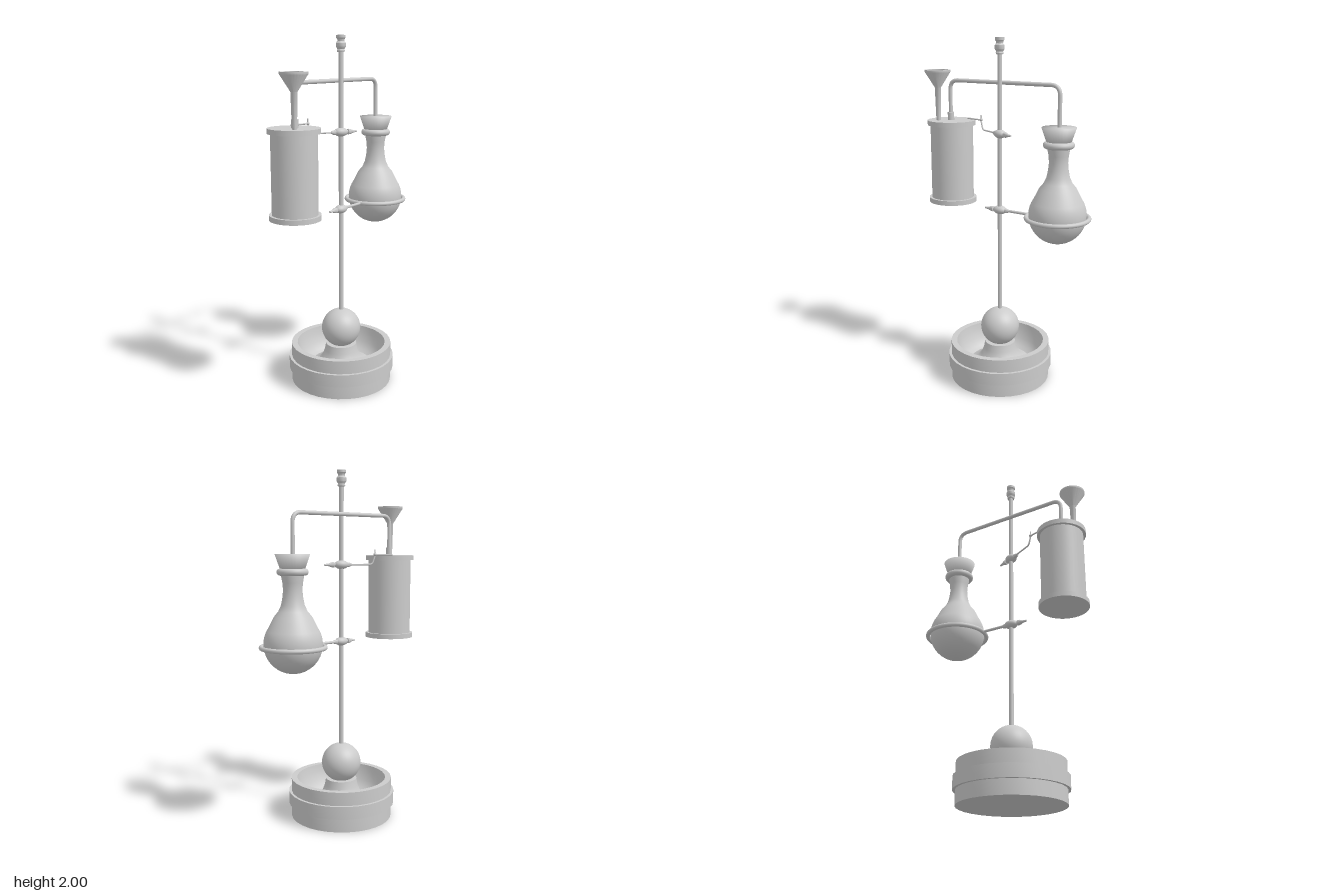
import * as THREE from 'three';
import { toCreasedNormals } from 'three/addons/utils/BufferGeometryUtils.js';

const grey = new THREE.MeshStandardMaterial({ color: 0xcccccc });
const V = (x, y, z) => new THREE.Vector3(x, y, z);

function add(parent, name, geometry, x = 0, y = 0, z = 0) {
  const mesh = new THREE.Mesh(geometry, grey);
  mesh.name = name;
  mesh.position.set(x, y, z);
  parent.add(mesh);
  return mesh;
}

// Turned part from [radius, height] pairs, listed from the bottom up the outside
function turned(profile, sides = 32, crease = 0.6) {
  const lathe = new THREE.LatheGeometry(profile.map(([r, y]) => new THREE.Vector2(r, y)), sides);
  return crease ? toCreasedNormals(lathe, crease) : lathe;
}

// Path of straight runs with rounded corners
function bentPath(points, bend) {
  const path = new THREE.CurvePath();
  let from = points[0];
  for (let i = 1; i < points.length - 1; i++) {
    const p = points[i];
    const a = p.clone().add(points[i - 1].clone().sub(p).setLength(bend));
    const b = p.clone().add(points[i + 1].clone().sub(p).setLength(bend));
    path.add(new THREE.LineCurve3(from, a));
    path.add(new THREE.QuadraticBezierCurve3(a, p, b));
    from = b;
  }
  path.add(new THREE.LineCurve3(from, points[points.length - 1]));
  return path;
}

// Oval boss on the pole with a tapered thumb screw pointing along local +x
function makeClamp(name, x, y, angle) {
  const clamp = new THREE.Group();
  clamp.name = name;
  add(clamp, 'clampBoss', new THREE.SphereGeometry(1, 20, 14)).scale.set(0.042, 0.025, 0.03);
  const screw = add(clamp, 'thumbScrew', turned([
    [0, 0.03], [0.01, 0.03], [0.01, 0.042], [0.016, 0.045], [0.015, 0.058],
    [0.008, 0.078], [0.005, 0.102], [0, 0.102]], 12));
  screw.rotation.z = -Math.PI / 2;
  const neck = add(clamp, 'clampNeck', turned([
    [0, 0.03], [0.014, 0.03], [0.012, 0.05], [0.007, 0.062], [0, 0.062]], 12));
  neck.rotation.z = Math.PI / 2;
  clamp.position.set(x, y, 0);
  clamp.rotation.y = angle;
  return clamp;
}

export function createModel() {
  const model = new THREE.Group();
  model.name = 'distillingStand';
  const poleX = -0.03, flaskX = 0.335, canX = -0.388, backZ = -0.024;

  // Banded base, hollowed to a basin with a flared pedestal in its middle
  add(model, 'base', turned([
    [0, 0], [0.294, 0], [0.294, 0.08], [0.309, 0.08], [0.309, 0.153], [0.294, 0.153],
    [0.294, 0.23], [0.26, 0.23], [0.253, 0.19], [0.237, 0.14], [0.213, 0.1], [0.178, 0.08],
    [0.178, 0.095], [0.14, 0.11], [0.112, 0.14], [0.097, 0.18], [0.09, 0.22], [0, 0.22]]),
  poleX);
  add(model, 'baseBall', new THREE.SphereGeometry(0.114, 32, 24), poleX, 0.317);

  // Upright pole and finial
  add(model, 'pole', new THREE.CylinderGeometry(0.013, 0.013, 1.53, 16), poleX, 1.165);
  add(model, 'finial', turned([
    [0, 1.91], [0.02, 1.91], [0.022, 1.918], [0.019, 1.925], [0.027, 1.938], [0.027, 1.958],
    [0.019, 1.968], [0.02, 1.978], [0.026, 1.986], [0.026, 2], [0, 2]], 20), poleX);

  // Round flask with a waisted neck
  const flask = new THREE.Group();
  flask.name = 'flask';
  flask.position.set(flaskX, 0, -0.021);
  model.add(flask);
  const bulb = [];
  for (let i = 0; i <= 15; i++) {
    const a = -Math.PI / 2 + i * 0.145;
    bulb.push([Math.max(0, 0.161 * Math.cos(a)), 1.053 + 0.161 * Math.sin(a)]);
  }
  add(flask, 'flaskBody', turned([
    ...bulb, [0.103, 1.203], [0.079, 1.232], [0.064, 1.265], [0.056, 1.305], [0.052, 1.345],
    [0.055, 1.385], [0.062, 1.42], [0.062, 1.45], [0, 1.45]], 40, 0));
  const lip = add(flask, 'flaskLip', new THREE.TorusGeometry(0.067, 0.019, 14, 40), 0, 1.442);
  lip.rotation.x = Math.PI / 2;
  add(flask, 'stopper', turned([[0, 1.45], [0.065, 1.45], [0.095, 1.537], [0, 1.537]], 32, 0));
  const ring = add(flask, 'supportRing', new THREE.TorusGeometry(0.174, 0.0125, 12, 56), 0, 1.036);
  ring.rotation.x = Math.PI / 2;

  // Canister with two flanged ends
  const can = new THREE.Group();
  can.name = 'canister';
  can.position.set(canX, 0, -0.03);
  model.add(can);
  add(can, 'canisterBody', new THREE.CylinderGeometry(0.125, 0.125, 0.46, 40), 0, 1.285);
  for (const [name, y] of [['canisterLid', 1.512], ['canisterFoot', 1.052]]) {
    add(can, name, new THREE.CylinderGeometry(0.141, 0.141, 0.028, 40), 0, y);
  }

  // Tube from stopper to canister, with its socket
  const tube = bentPath([
    V(flaskX, 1.5, backZ), V(flaskX, 1.757, backZ),
    V(canX, 1.757, backZ), V(canX, 1.52, backZ)], 0.055);
  add(model, 'transferTube', new THREE.TubeGeometry(tube, 120, 0.0115, 12));
  add(model, 'tubeSocket', new THREE.CylinderGeometry(0.019, 0.019, 0.05, 16), canX, 1.547, backZ);

  // Open funnel on a tapered stem
  add(model, 'funnel', turned([
    [0.012, 1.52], [0.014, 1.55], [0.018, 1.715], [0.074, 1.803], [0.074, 1.815],
    [0.06, 1.815], [0.06, 1.803], [0.013, 1.72], [0, 1.715]], 28), -0.443, 0, 0.023);

  // Lower clamp and the arm that carries the flask ring
  model.add(makeClamp('lowerClamp', poleX, 1.036, Math.PI));
  const arm = add(model, 'ringArm',
    new THREE.CylinderGeometry(0.008, 0.008, 0.19, 12), poleX + 0.105, 1.036, -0.002);
  arm.rotation.z = Math.PI / 2;

  // Upper clamp, its cranked wire and the small catch resting on the lid
  model.add(makeClamp('upperClamp', poleX, 1.475, -0.36));
  const wire = bentPath([
    V(poleX, 1.475, 0), V(-0.198, 1.475, -0.078), V(-0.215, 1.528, -0.084)], 0.016);
  add(model, 'clampWire', new THREE.TubeGeometry(wire, 32, 0.0045, 8));
  const lidWire = new THREE.LineCurve3(V(-0.21, 1.531, -0.083), V(-0.328, 1.531, -0.11));
  add(model, 'lidWire', new THREE.TubeGeometry(lidWire, 1, 0.0045, 8));
  add(model, 'catchBead', new THREE.SphereGeometry(0.009, 12, 8), -0.214, 1.532, -0.084);
  add(model, 'catchPin', new THREE.CylinderGeometry(0.003, 0.005, 0.03, 8), -0.214, 1.545, -0.084);

  return model;
}
